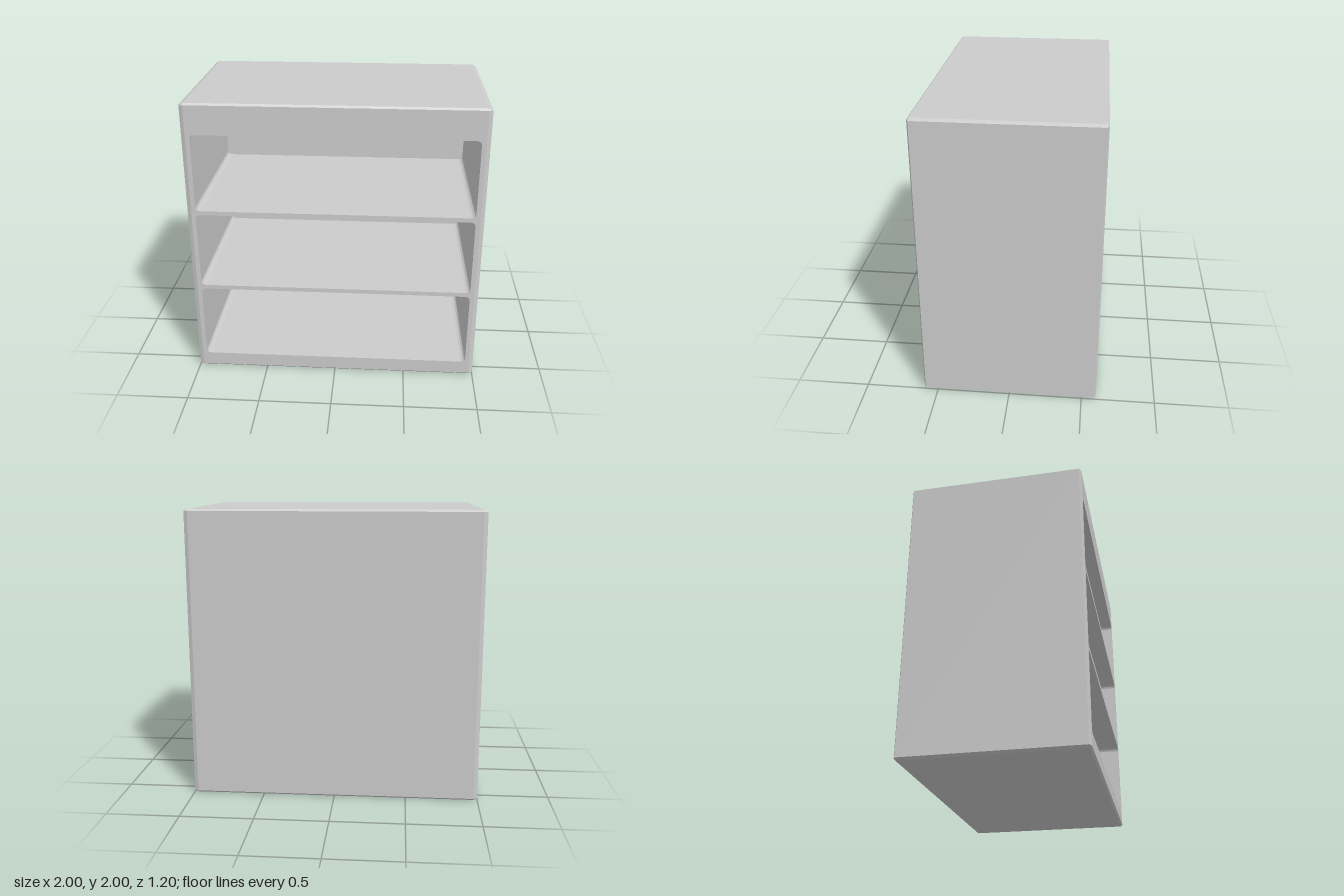
import * as THREE from 'three';

const W = 1, H = 1, D = 0.6;          // half width, height and depth
const BX = 0.027, BY = 0.013, BZ = 0.013; // edge bevel along each axis
const BACK = -D + 0.06;               // inner face of the back panel
const material = new THREE.MeshStandardMaterial({ color: 0xcccccc, flatShading: true });

// Skins a run of rings, front to back; counter-clockwise rings face outwards.
function loft(rings) {
  const pos = [];
  for (let r = 0; r + 1 < rings.length; r++) {
    const f = rings[r], k = rings[r + 1], n = f.pts.length;
    for (let i = 0; i < n; i++) {
      const j = (i + 1) % n;
      const a = [f.pts[i].x, f.pts[i].y, f.z], b = [f.pts[j].x, f.pts[j].y, f.z];
      const c = [k.pts[j].x, k.pts[j].y, k.z], d = [k.pts[i].x, k.pts[i].y, k.z];
      pos.push(...a, ...d, ...c, ...a, ...c, ...b);
    }
  }
  const g = new THREE.BufferGeometry();
  g.setAttribute('position', new THREE.Float32BufferAttribute(pos, 3));
  g.computeVertexNormals();
  return g;
}

// Rectangle with elliptical corners, counter-clockwise.
function roundedOutline(x, y0, y1, rx, ry, segments) {
  const pts = [];
  [[1, 1], [-1, 1], [-1, -1], [1, -1]].forEach(([sx, sy], q) => {
    for (let s = 0; s <= segments; s++) {
      const t = (q + s / segments) * Math.PI / 2;
      pts.push(new THREE.Vector2(sx * (x - rx) + rx * Math.cos(t),
        (sy > 0 ? y1 - ry : y0 + ry) + ry * Math.sin(t)));
    }
  });
  return pts;
}

function add(parent, name, geometry) {
  const mesh = new THREE.Mesh(geometry, material);
  mesh.name = name;
  parent.add(mesh);
  return mesh;
}

export function createModel() {
  const model = new THREE.Group();
  model.name = 'shelfCabinet';

  // Outer shell with bevelled edges: cut-corner rings closing to inset faces
  const side = roundedOutline(W, 0, 2 * H, BX, BY, 1);
  const face = side.map(p => new THREE.Vector2(
    Math.sign(p.x) * (W - BX), p.y > H ? 2 * H - BY : BY));
  add(model, 'outerShell', loft([
    { pts: face, z: D }, { pts: side, z: D - BZ },
    { pts: side, z: -D + BZ }, { pts: face, z: -D },
  ]));

  // Flat faces: closed back, and a front frame pierced by the openings
  const rectangle = () => new THREE.Shape(face.filter((p, i) => i % 2 === 0));
  const back = add(model, 'backPanel', new THREE.ShapeGeometry(rectangle()));
  back.rotation.y = Math.PI;
  back.position.z = -D;
  const frontShape = rectangle();

  // Three open compartments, each a recess with softened corners
  for (let i = 0; i < 3; i++) {
    const y0 = 0.108 + i * 0.57;
    const outline = roundedOutline(0.943, y0, y0 + 0.54, 0.035, 0.027, 3);
    const inward = [...outline].reverse();
    frontShape.holes.push(new THREE.Path(inward));

    const compartment = new THREE.Group();
    compartment.name = `compartment${i + 1}`;
    add(compartment, 'compartmentWalls', loft([{ pts: inward, z: D }, { pts: inward, z: BACK }]));
    add(compartment, 'compartmentBack',
      new THREE.ShapeGeometry(new THREE.Shape(outline))).position.z = BACK;
    model.add(compartment);
  }
  add(model, 'frontFrame', new THREE.ShapeGeometry(frontShape)).position.z = D;

  return model;
}
